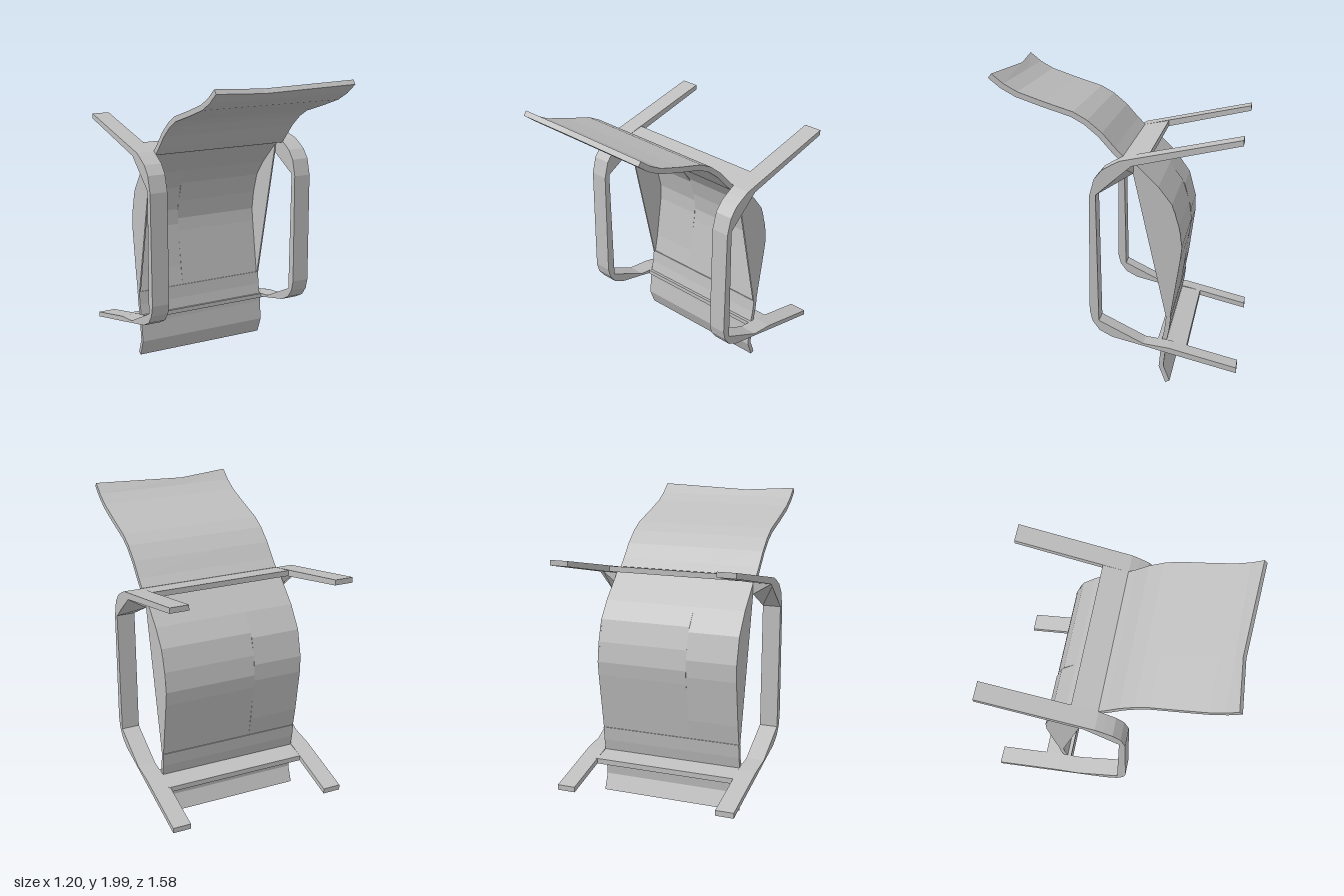
import * as THREE from 'three';

const grey = new THREE.MeshStandardMaterial({ color: 0xbfbfbf, flatShading: true });
grey.name = 'plain grey';

// Extrudes a [z, y] outline across the width from x0 to x1
function slab(name, outline, x0, x1, steps = 1, reshape = null) {
  const shape = new THREE.Shape(outline.map(([z, y]) => new THREE.Vector2(z, y)));
  const geo = new THREE.ExtrudeGeometry(shape, { depth: x1 - x0, steps, bevelEnabled: false });
  geo.rotateY(-Math.PI / 2).translate(x1, 0, 0);
  if (reshape) {
    const p = geo.attributes.position;
    const v = new THREE.Vector3();
    for (let i = 0; i < p.count; i++) {
      reshape(v.fromBufferAttribute(p, i));
      p.setXYZ(i, v.x, v.y, v.z);
    }
    geo.computeVertexNormals();
  }
  const mesh = new THREE.Mesh(geo, grey);
  mesh.name = name;
  return mesh;
}

// Gives a [z, y] centre line an even thickness
function ribbon(path, thick) {
  const a = [], b = [];
  path.forEach(([z, y], i) => {
    const p = path[Math.max(i - 1, 0)], q = path[Math.min(i + 1, path.length - 1)];
    const dz = q[0] - p[0], dy = q[1] - p[1], k = thick / 2 / Math.hypot(dz, dy);
    a.push([z - dy * k, y + dz * k]);
    b.unshift([z + dy * k, y - dz * k]);
  });
  return a.concat(b);
}

export function createModel() {
  const chair = new THREE.Group();
  chair.name = 'slingChair';

  // Side frames: two legs joined by an angular arm
  const frame = [
    [-0.79, 1.665], [-0.05, 1.51], [0, 1.485], [0.06, 1.45], [0.11, 1.39], [0.14, 1.28],
    [0.143, 0.53], [0.125, 0.46], [0.08, 0.4], [0, 0.358], [-0.2, 0.31], [-0.35, 0.272],
    [-0.79, 0.165], [-0.79, 0.2], [-0.36, 0.305], [-0.2, 0.325], [0.085, 0.465],
    [0.1, 1.29], [-0.115, 1.405], [-0.12, 1.48], [-0.79, 1.63],
  ];
  for (const side of [1, -1]) {
    const x0 = side > 0 ? 0.48 : -0.6;
    // The corner web slopes away towards the outside
    chair.add(slab(side > 0 ? 'leftFrame' : 'rightFrame', frame, x0, x0 + 0.12, 1, (v) => {
      if (Math.abs(v.x) > 0.59 && Math.abs(v.z + 0.115) < 0.001 && v.y < 1.42) {
        v.z = -0.07;
        v.y = 1.47;
      }
    }));
  }

  // Flat cross rails lying in line with the legs
  chair.add(slab('upperRail', [[-0.05, 1.51], [-0.07, 1.48], [-0.22, 1.505], [-0.22, 1.542]], -0.49, 0.49));
  chair.add(slab('lowerRail', [[-0.28, 0.315], [-0.28, 0.285], [-0.465, 0.245], [-0.465, 0.28]], -0.49, 0.49));

  // Backrest sheet with a shallow dip in its far edge
  const back = [[-0.04, 1.5], [0.01, 1.55], [0.09, 1.64], [0.18, 1.715], [0.265, 1.762],
    [0.45, 1.82], [0.61, 1.875], [0.7, 1.925], [0.775, 1.985]];
  chair.add(slab('backrest', ribbon(back, 0.034), -0.48, 0.48, 2, (v) => {
    if (Math.abs(v.x) < 0.01) {
      v.x = -0.14;
      if (v.y > 1.95) {
        v.y -= 0.02;
        v.z -= 0.03;
      }
    }
  }));

  // Seat sheet in two strips with slightly different folds
  const wide = [[-0.1, 1.48], [-0.265, 1.32], [-0.35, 1.21], [-0.395, 1.07], [-0.415, 0.94],
    [-0.405, 0.85], [-0.345, 0.46], [-0.33, 0.36], [-0.315, 0.28]];
  const narrow = [[-0.1, 1.48], [-0.265, 1.32], [-0.365, 1.18], [-0.41, 1.01], [-0.41, 0.9],
    [-0.37, 0.6], [-0.345, 0.46], [-0.315, 0.28]];
  chair.add(slab('seatWideStrip', ribbon(wide, 0.018), -0.14, 0.48));
  chair.add(slab('seatNarrowStrip', ribbon(narrow, 0.018), -0.48, -0.14));

  // Thin side panels closing the curve of the seat
  const panel = [[-0.11, 1.48], [-0.27, 1.32], [-0.375, 1.17], [-0.415, 1.02], [-0.415, 0.9],
    [-0.35, 0.46], [-0.33, 0.46], [-0.11, 1.42]];
  chair.add(slab('leftSeatPanel', panel, 0.47, 0.48));
  chair.add(slab('rightSeatPanel', panel, -0.48, -0.47));

  // Front flap below the lower rail, and the fold that joins it to the seat
  const flap = [[-0.315, 0.3], [-0.313, 0.25], [-0.3, 0.12], [-0.343, 0.012]];
  chair.add(slab('frontFlap', ribbon(flap, 0.03), -0.48, 0.48));
  const fold = [[-0.345, 0.47], [-0.335, 0.38], [-0.315, 0.28]];
  chair.add(slab('seatFold', ribbon(fold, 0.03), -0.48, 0.48));

  return chair;
}
